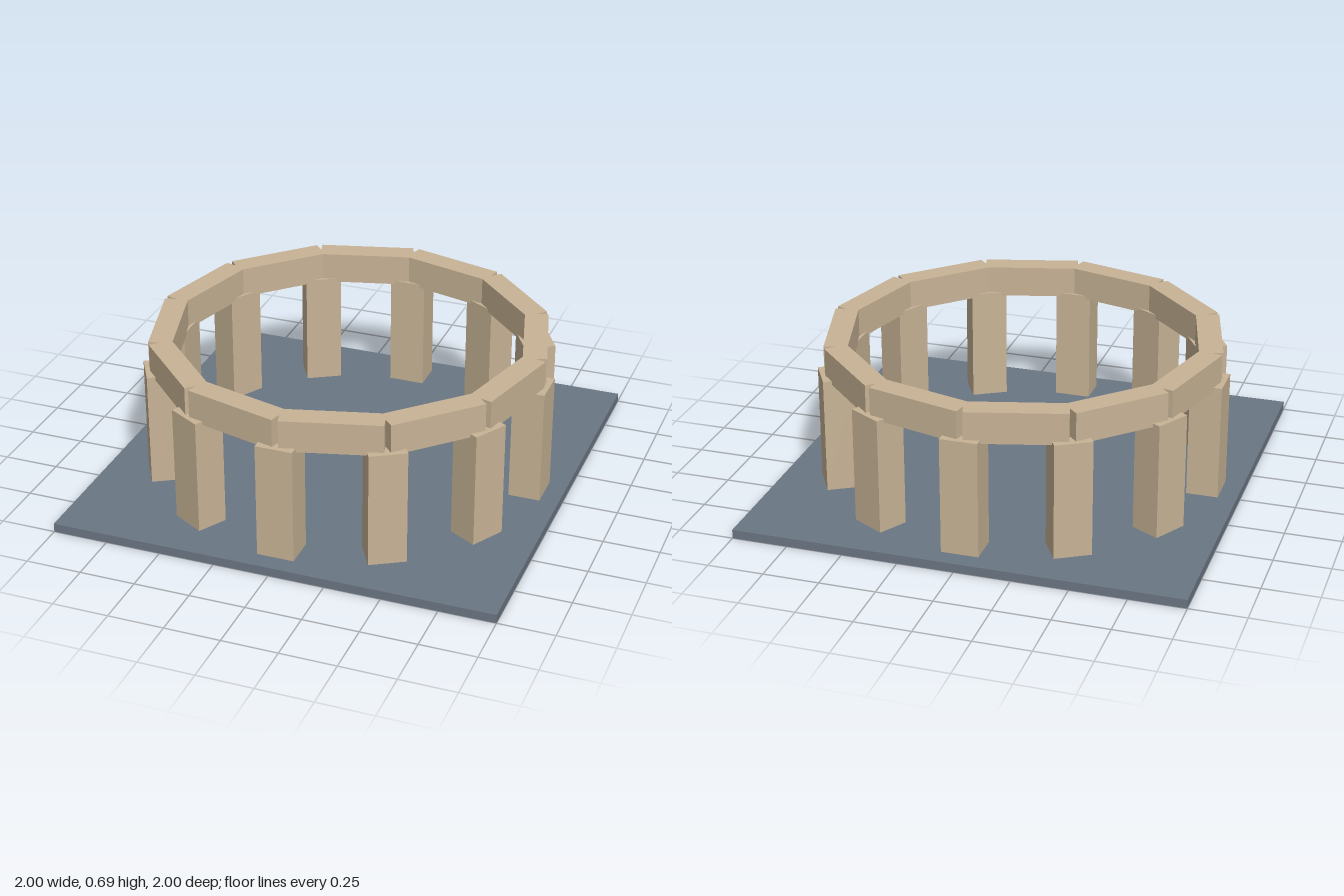
import * as THREE from 'three';

export function createModel() {
  const model = new THREE.Group();
  const sandstone = new THREE.MeshStandardMaterial({ name: 'sandstone', color: 0xc8b496 });
  const slate = new THREE.MeshStandardMaterial({ name: 'slate', color: 0x6b7684 });

  const COUNT = 12;
  const RADIUS = 0.845; // ring through the pillar centres
  const STEP = (Math.PI * 2) / COUNT;

  // Square ground slab
  const slab = new THREE.Mesh(new THREE.BoxGeometry(2, 0.04, 2), slate);
  slab.name = 'groundSlab';
  slab.position.y = 0.02;
  model.add(slab);

  // Places a block on a circle, its depth pointing outwards
  const addBlock = (name, geometry, angle, radius, y) => {
    const block = new THREE.Mesh(geometry, sandstone);
    block.name = name;
    block.position.set(Math.sin(angle) * radius, y, Math.cos(angle) * radius);
    block.rotation.y = angle;
    model.add(block);
  };

  // Standing stones, with lintels bridging each neighbouring pair
  const pillar = new THREE.BoxGeometry(0.166, 0.525, 0.142);
  const lintel = new THREE.BoxGeometry(2 * RADIUS * Math.sin(STEP / 2), 0.142, 0.106);
  for (let i = 0; i < COUNT; i++) {
    addBlock(`pillar${i + 1}`, pillar, i * STEP, RADIUS, 0.3025);
    addBlock(`lintel${i + 1}`, lintel, (i + 0.5) * STEP, RADIUS * Math.cos(STEP / 2), 0.62);
  }
  return model;
}
